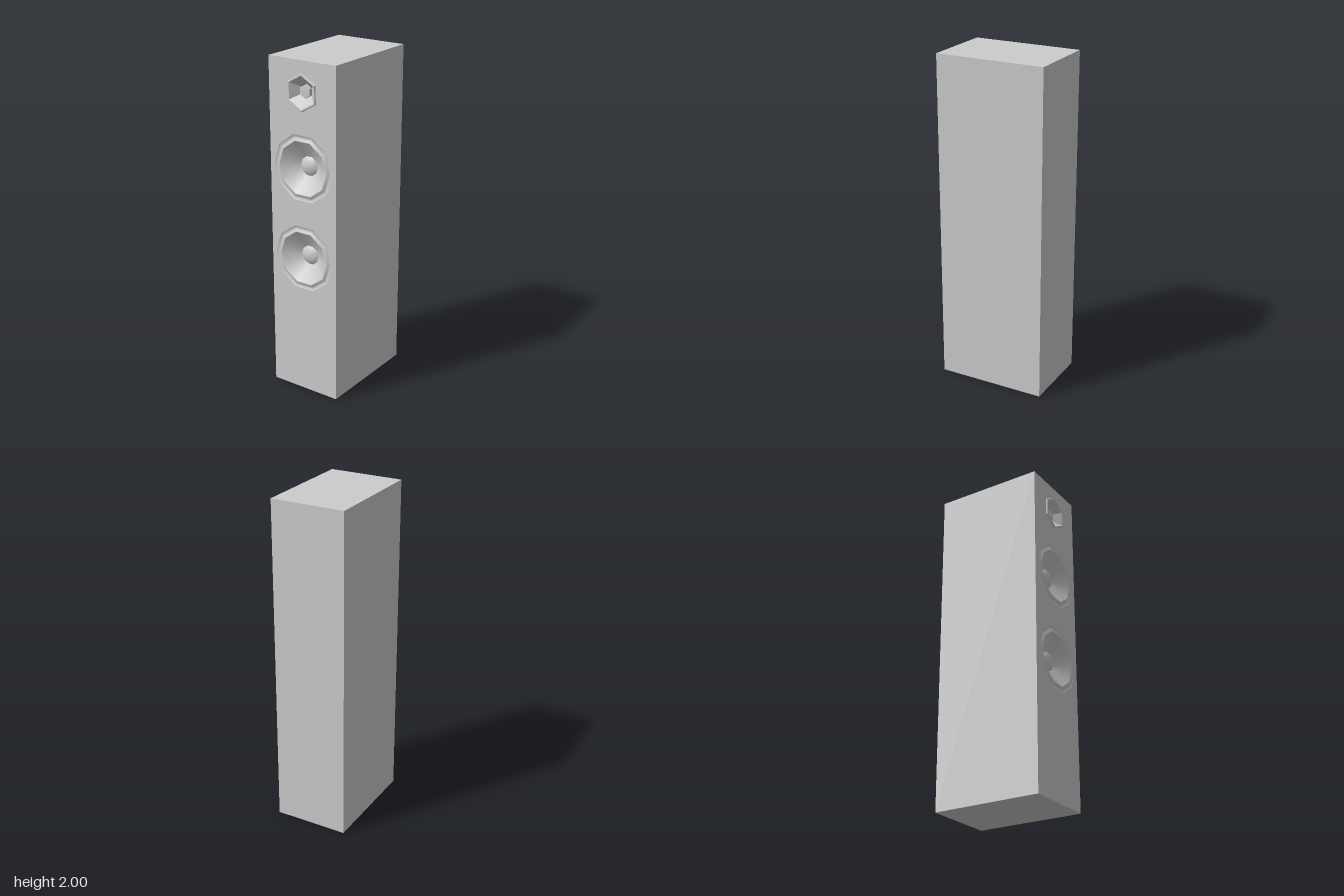
import * as THREE from 'three';

const W = 0.45, H = 2, BACK = -0.335, FRONT = 0.327;

export function createModel() {
  const model = new THREE.Group();
  const smooth = new THREE.MeshStandardMaterial({ color: 0xcccccc, side: THREE.DoubleSide });
  const flat = new THREE.MeshStandardMaterial({ color: 0xcccccc, side: THREE.DoubleSide, flatShading: true });

  function add(parent, name, geometry, material) {
    const mesh = new THREE.Mesh(geometry, material);
    mesh.name = name;
    parent.add(mesh);
    return mesh;
  }

  // Turned ring facing +z; profile is [radius, z] from the rim inwards
  function ring(parent, name, profile, sides, start, material) {
    const points = profile.map(([r, z]) => new THREE.Vector2(r, z));
    const geometry = new THREE.LatheGeometry(points, sides, start, Math.PI * 2);
    geometry.rotateX(Math.PI / 2);
    add(parent, name, geometry, material);
  }

  // Polygonal opening with the same corners as a ring
  function opening(y, r, sides, start) {
    const points = [];
    for (let i = 0; i < sides; i++) {
      const a = start + (i / sides) * Math.PI * 2;
      points.push(new THREE.Vector2(r * Math.sin(a), y - r * Math.cos(a)));
    }
    return new THREE.Path(points);
  }

  // Cabinet shell without its front side
  const shell = new THREE.BoxGeometry(W, H, FRONT - BACK);
  const index = Array.from(shell.index.array);
  index.splice(24, 6);
  shell.setIndex(index);
  shell.clearGroups();
  shell.translate(0, H / 2, (FRONT + BACK) / 2);
  add(model, 'cabinet', shell, smooth);

  // Front baffle with three openings
  const baffle = new THREE.Shape();
  baffle.moveTo(-W / 2, 0).lineTo(W / 2, 0).lineTo(W / 2, H).lineTo(-W / 2, H).closePath();

  // Two woofers: surround, cone and dust cap
  [1.39, 0.85].forEach((y, i) => {
    const start = Math.PI / 2;
    baffle.holes.push(opening(y, 0.2, 10, start));
    const woofer = new THREE.Group();
    woofer.name = i === 0 ? 'upperWoofer' : 'lowerWoofer';
    woofer.position.set(0, y, FRONT);
    ring(woofer, 'surround', [[0.2, 0], [0.188, -0.006], [0.176, -0.004], [0.169, 0.003], [0.162, 0.003]], 10, start, smooth);
    ring(woofer, 'cone', [[0.162, 0.003], [0.11, -0.032], [0.058, -0.062]], 10, start, smooth);
    ring(woofer, 'dustCap', [[0.058, -0.062], [0.045, -0.052], [0.025, -0.045], [0, -0.042]], 10, start, smooth);
    model.add(woofer);
  });

  // Hexagonal tweeter: raised rim, horn and centre plug
  const tweeterY = 1.823;
  baffle.holes.push(opening(tweeterY, 0.108, 6, 0));
  const tweeter = new THREE.Group();
  tweeter.name = 'tweeter';
  tweeter.position.set(0, tweeterY, FRONT);
  ring(tweeter, 'rim', [[0.108, 0], [0.104, 0.008], [0.095, 0.008]], 6, 0, flat);
  ring(tweeter, 'horn', [[0.095, 0.008], [0.04, -0.045]], 6, 0, flat);
  ring(tweeter, 'plug', [[0.04, -0.045], [0.038, -0.026], [0, -0.024]], 6, 0, flat);
  model.add(tweeter);

  const front = new THREE.ShapeGeometry(baffle);
  front.translate(0, 0, FRONT);
  add(model, 'frontBaffle', front, smooth);

  return model;
}
